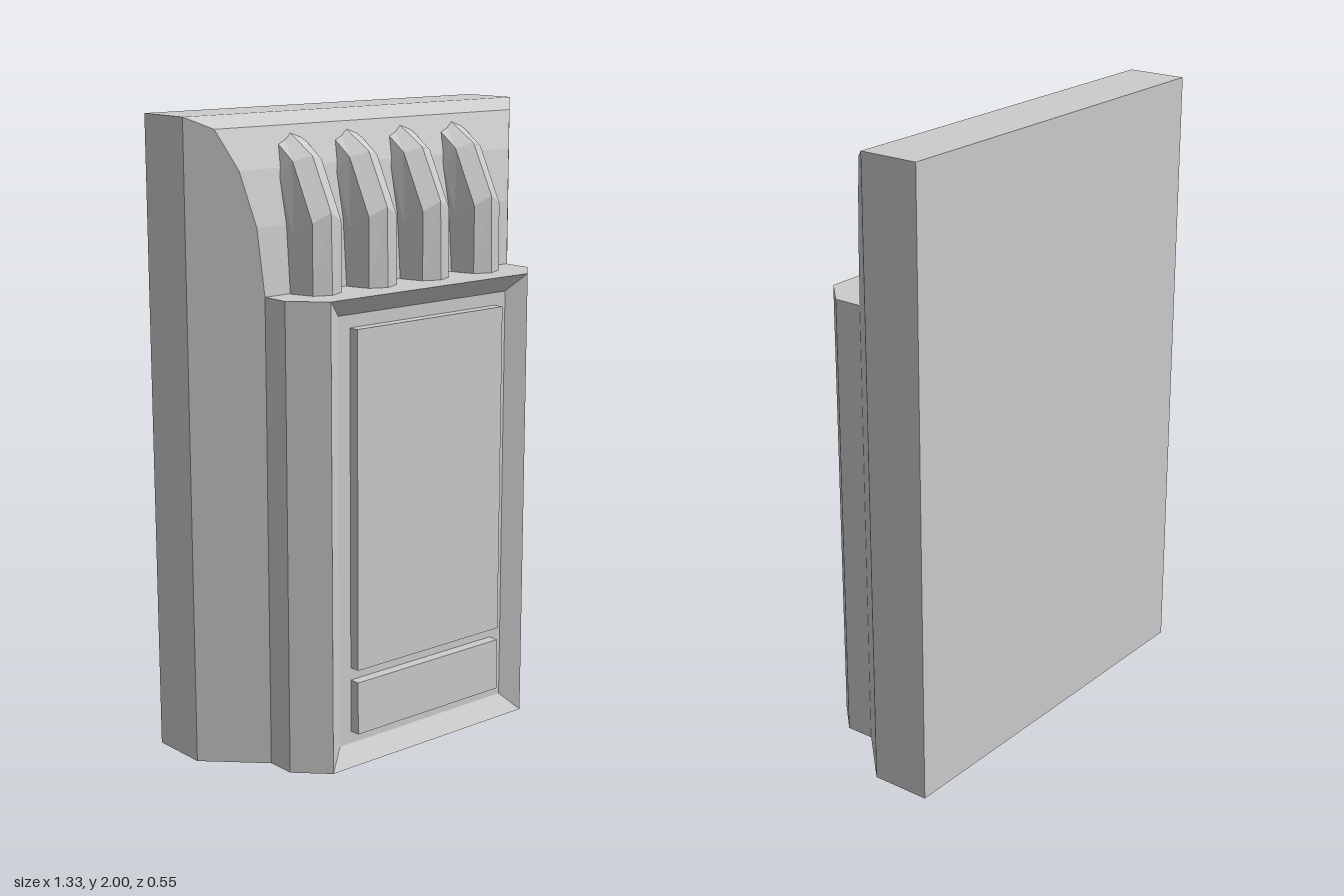
import * as THREE from 'three';

const material = new THREE.MeshStandardMaterial({ color: 0xcccccc, flatShading: true });

// Skins a closed solid through rings of points (counter-clockwise about the loft direction).
function loft(name, rings) {
  const pos = [];
  const tri = (a, b, c) => pos.push(...a, ...b, ...c);
  const n = rings[0].length;
  for (let r = 0; r < rings.length - 1; r++) {
    const a = rings[r], b = rings[r + 1];
    for (let i = 0; i < n; i++) {
      const j = (i + 1) % n;
      tri(a[i], a[j], b[j]);
      tri(a[i], b[j], b[i]);
    }
  }
  const first = rings[0], last = rings[rings.length - 1];
  for (let i = 1; i < n - 1; i++) {
    tri(first[0], first[i + 1], first[i]);
    tri(last[0], last[i], last[i + 1]);
  }
  const geometry = new THREE.BufferGeometry();
  geometry.setAttribute('position', new THREE.Float32BufferAttribute(pos, 3));
  geometry.computeVertexNormals();
  const mesh = new THREE.Mesh(geometry, material);
  mesh.name = name;
  return mesh;
}

function box(name, x, y0, y1, z0, z1) {
  const mesh = new THREE.Mesh(new THREE.BoxGeometry(2 * x, y1 - y0, z1 - z0), material);
  mesh.position.set(0, (y0 + y1) / 2, (z0 + z1) / 2);
  mesh.name = name;
  return mesh;
}

export function createModel() {
  const group = new THREE.Group();
  group.name = 'wallPanel';

  // Main slab: 45 degree side bevels, front curving back to the top edge
  const W = 0.665;
  const bodyProfile = [[0, 0.5], [1.475, 0.5], [1.68, 0.515], [1.845, 0.55], [1.965, 0.6], [2, W]];
  group.add(loft('mainSlab', bodyProfile.map(([y, w]) => [
    [-W, y, -0.275], [-W, y, -0.08], [-w, y, 0.585 - w],
    [w, y, 0.585 - w], [W, y, -0.08], [W, y, -0.275],
  ])));

  // Front block: chamfered sides and a sloped rim around a recess
  const blockProfile = [
    [0.08, 0.5, 0, 1.475], [0.18, 0.5, 0, 1.475],
    [0.275, 0.405, 0, 1.475], [0.235, 0.345, 0.06, 1.42],
  ];
  group.add(loft('frontBlock', blockProfile.map(([z, w, y0, y1]) => [
    [-w, y0, z], [w, y0, z], [w, y1, z], [-w, y1, z],
  ])));

  // Raised plates inside the recess
  group.add(box('lowerPlate', 0.3, 0.1, 0.27, 0.225, 0.27));
  group.add(box('upperPlate', 0.3, 0.31, 1.38, 0.225, 0.27));

  // Faceted ribs bending back into the slab; each section is [z, y] at inner, side, shoulder, crest
  const ribSections = [
    [[0.0, 1.475], [0.1, 1.475], [0.165, 1.475], [0.19, 1.475]],
    [[0.0, 1.6], [0.1, 1.655], [0.165, 1.69], [0.185, 1.72]],
    [[-0.04, 1.75], [0.04, 1.82], [0.075, 1.865], [0.1, 1.88]],
    [[-0.1, 1.85], [-0.05, 1.88], [-0.05, 1.95], [-0.06, 1.972]],
  ];
  const halfWidths = [0.077, 0.077, 0.055, 0];
  const ribRings = ribSections.map((section) => {
    const left = section.map(([z, y], i) => [-halfWidths[i], y, z]);
    const right = left.slice(0, 3).reverse().map(([x, y, z]) => [-x, y, z]);
    return [...left, ...right];
  });
  for (let i = 0; i < 4; i++) {
    const rib = loft('rib' + (i + 1), ribRings);
    rib.position.x = -0.328 + i * 0.2187;
    group.add(rib);
  }

  return group;
}
